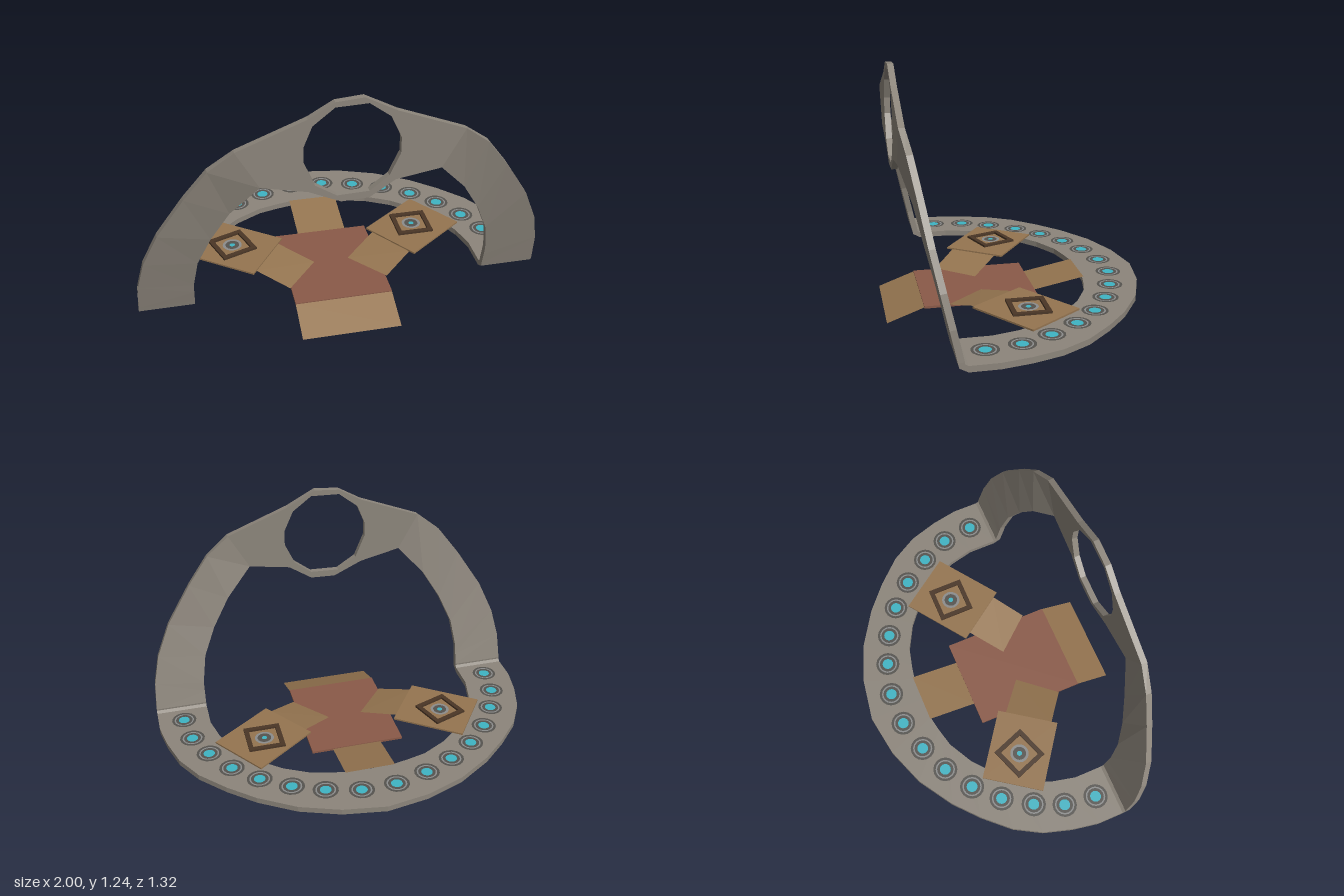
import * as THREE from 'three';

const mat = (color) => new THREE.MeshStandardMaterial({ color, flatShading: true, side: THREE.DoubleSide });
const stone = mat(0x8c857b), tan = mat(0x957550), clay = mat(0x8a5a48), dark = mat(0x4a3626);
const iron = mat(0x55534f), steel = mat(0x8b8c8c), glow = mat(0x3fb4c4);

function add(parent, name, geometry, material, x = 0, y = 0, z = 0) {
  const mesh = new THREE.Mesh(geometry, material);
  mesh.name = name;
  mesh.position.set(x, y, z);
  parent.add(mesh);
  return mesh;
}

// Strip of four-cornered cross-sections
function loft(sections) {
  const pos = [];
  for (let i = 0; i < sections.length - 1; i++) {
    const a = sections[i], b = sections[i + 1];
    for (let k = 0; k < 4; k++) {
      const n = (k + 1) % 4;
      pos.push(...a[k], ...a[n], ...b[n], ...a[k], ...b[n], ...b[k]);
    }
  }
  const g = new THREE.BufferGeometry();
  g.setAttribute('position', new THREE.Float32BufferAttribute(pos, 3));
  g.computeVertexNormals();
  return g;
}

// Flat polygon in plan (x, z), extruded upward from y
function plate(points, y, height) {
  const shape = new THREE.Shape(points.map(([x, z]) => new THREE.Vector2(x, -z)));
  const g = new THREE.ExtrudeGeometry(shape, { depth: height, bevelEnabled: false });
  return g.rotateX(-Math.PI / 2).translate(0, y, 0);
}

// Thin sloping quad
function ramp(a, b, c, d) {
  const g = new THREE.BufferGeometry();
  g.setAttribute('position', new THREE.Float32BufferAttribute([...a, ...b, ...c, ...a, ...c, ...d], 3));
  g.computeVertexNormals();
  return g;
}

// Flat disc, or ring when inner > 0
function disc(inner, outer, sides = 16) {
  const g = inner > 0 ? new THREE.RingGeometry(inner, outer, sides) : new THREE.CircleGeometry(outer, sides);
  return g.rotateX(-Math.PI / 2);
}

// Concentric rings with a glowing centre
function lamp(parent, name, x, y, z, r) {
  const g = new THREE.Group();
  g.name = name;
  g.position.set(x, y, z);
  add(g, 'outerRing', disc(r * 0.8, r), iron, 0, 0.002);
  add(g, 'middleRing', disc(r * 0.68, r * 0.8), steel, 0, 0.002);
  add(g, 'innerRing', disc(r * 0.45, r * 0.68), iron, 0, 0.002);
  add(g, 'glowingCentre', disc(0, r * 0.45), glow, 0, 0.002);
  parent.add(g);
}

export function createModel() {
  const model = new THREE.Group();
  model.name = 'archPlatform';

  // Band: outer x y z, inner x y z, thickness offset y z; from shoulder down and round the base
  const half = [
    [0.52, 1.04, 0.6, 0.415, 0.85, 0.6, 0, -0.03],
    [0.64, 0.945, 0.58, 0.55, 0.7, 0.55, 0.004, -0.03],
    [0.75, 0.8, 0.555, 0.64, 0.55, 0.518, 0.004, -0.03],
    [0.88, 0.6, 0.522, 0.705, 0.4, 0.483, 0.004, -0.03],
    [0.955, 0.43, 0.488, 0.73, 0.25, 0.45, 0.004, -0.03],
    [0.99, 0.28, 0.456, 0.73, 0.2, 0.44, 0.004, -0.03],
    [1, 0.135, 0.425, 0.73, 0.135, 0.425, 0.004, -0.03],
    [1, 0.112, 0.42, 0.73, 0.112, 0.42, 0.018, -0.024],
    [1, 0.09, 0.38, 0.73, 0.09, 0.38, 0.03, 0],
    [1, 0.09, 0.24, 0.73, 0.09, 0.23, 0.03, 0],
    [0.975, 0.09, 0.1, 0.7, 0.09, 0.1, 0.03, 0],
    [0.93, 0.09, -0.05, 0.64, 0.09, -0.03, 0.03, 0],
    [0.85, 0.09, -0.19, 0.55, 0.09, -0.15, 0.03, 0],
    [0.73, 0.09, -0.32, 0.43, 0.09, -0.25, 0.03, 0],
    [0.6, 0.09, -0.435, 0.3, 0.09, -0.32, 0.03, 0],
    [0.42, 0.09, -0.55, 0.2, 0.09, -0.345, 0.03, 0],
    [0.22, 0.09, -0.625, 0.12, 0.09, -0.36, 0.03, 0],
    [0, 0.09, -0.66, 0, 0.09, -0.365, 0.03, 0],
  ];
  const mirrored = half.slice(0, -1).reverse().map((s) => [-s[0], s[1], s[2], -s[3], ...s.slice(4)]);
  const sections = [...half, ...mirrored].map(([ox, oy, oz, ix, iy, iz, dy, dz]) => [
    [ox, oy, oz], [ix, iy, iz], [ix, iy + dy, iz + dz], [ox, oy + dy, oz + dz],
  ]);
  add(model, 'archAndBaseBand', loft(sections), stone);

  // Head of the arch with its round opening
  const vec = (list) => list.map(([x, y]) => new THREE.Vector2(x, y));
  const head = new THREE.Shape(vec([
    [0.52, 1.04], [0.2, 1.165], [0.05, 1.245], [-0.08, 1.235], [-0.2, 1.165], [-0.52, 1.04],
    [-0.415, 0.85], [-0.2, 0.8], [-0.05, 0.73], [0.08, 0.735], [0.2, 0.815], [0.415, 0.85],
  ]));
  head.holes.push(new THREE.Path(vec([
    [-0.08, 1.21], [0.07, 1.215], [0.17, 1.14], [0.22, 1.03], [0.22, 0.95], [0.17, 0.84],
    [0.08, 0.77], [-0.07, 0.765], [-0.17, 0.83], [-0.22, 0.95], [-0.22, 1.03], [-0.18, 1.13],
  ])));
  add(model, 'archHead', new THREE.ExtrudeGeometry(head, { depth: 0.03, bevelEnabled: false }), stone, 0, 0, 0.57);

  // Lamps along the base
  const spots = [[0.09, -0.51], [0.262, -0.465], [0.417, -0.396], [0.56, -0.3],
    [0.68, -0.18], [0.775, -0.035], [0.842, 0.115], [0.865, 0.285]];
  for (const s of [1, -1]) for (const [x, z] of spots) lamp(model, 'baseLamp', s * x, 0.12, z, 0.065);

  // Central floor with front and back ramps
  add(model, 'centralFloor', new THREE.BoxGeometry(0.49, 0.012, 0.58), clay, 0, 0.069, 0.185);
  add(model, 'frontRamp', ramp([-0.245, 0.07, 0.475], [-0.245, 0.002, 0.66], [0.245, 0.002, 0.66], [0.245, 0.07, 0.475]), tan);
  add(model, 'backRamp', ramp([-0.125, 0.07, -0.1], [0.135, 0.07, -0.1], [0.135, 0.121, -0.365], [-0.125, 0.121, -0.365]), tan);

  // Side platforms, their ramps and framed pads
  for (const s of [1, -1]) {
    const side = new THREE.Group();
    side.name = s > 0 ? 'leftPlatform' : 'rightPlatform';
    model.add(side);
    add(side, 'platform', plate([[0.54, -0.23], [0.73, 0.04], [0.42, 0.265], [0.23, -0.005]].map(([x, z]) => [s * x, z]), 0.121, 0.009), tan);
    add(side, 'platformRamp', ramp([s * 0.09, 0.077, 0.165], [s * 0.25, 0.077, 0.355],
      [s * 0.405, 0.124, 0.235], [s * 0.26, 0.124, 0.026]), tan);

    const pad = new THREE.Group();
    pad.name = 'framedPad';
    pad.position.set(s > 0 ? 0.478 : -0.495, 0.13, 0.005);
    pad.rotation.y = s > 0 ? 0 : 0.35;
    side.add(pad);
    for (const e of [1, -1]) {
      add(pad, 'frameBar', new THREE.BoxGeometry(0.19, 0.012, 0.024), dark, 0, 0.005, e * 0.083);
      add(pad, 'frameBar', new THREE.BoxGeometry(0.024, 0.012, 0.142), dark, e * 0.083, 0.005, 0);
    }
    add(pad, 'padRim', disc(0.036, 0.05), steel, 0, 0.004);
    add(pad, 'padRing', disc(0.014, 0.036), iron, 0, 0.004);
    add(pad, 'padCentre', disc(0, 0.014), glow, 0, 0.004);
  }
  return model;
}
